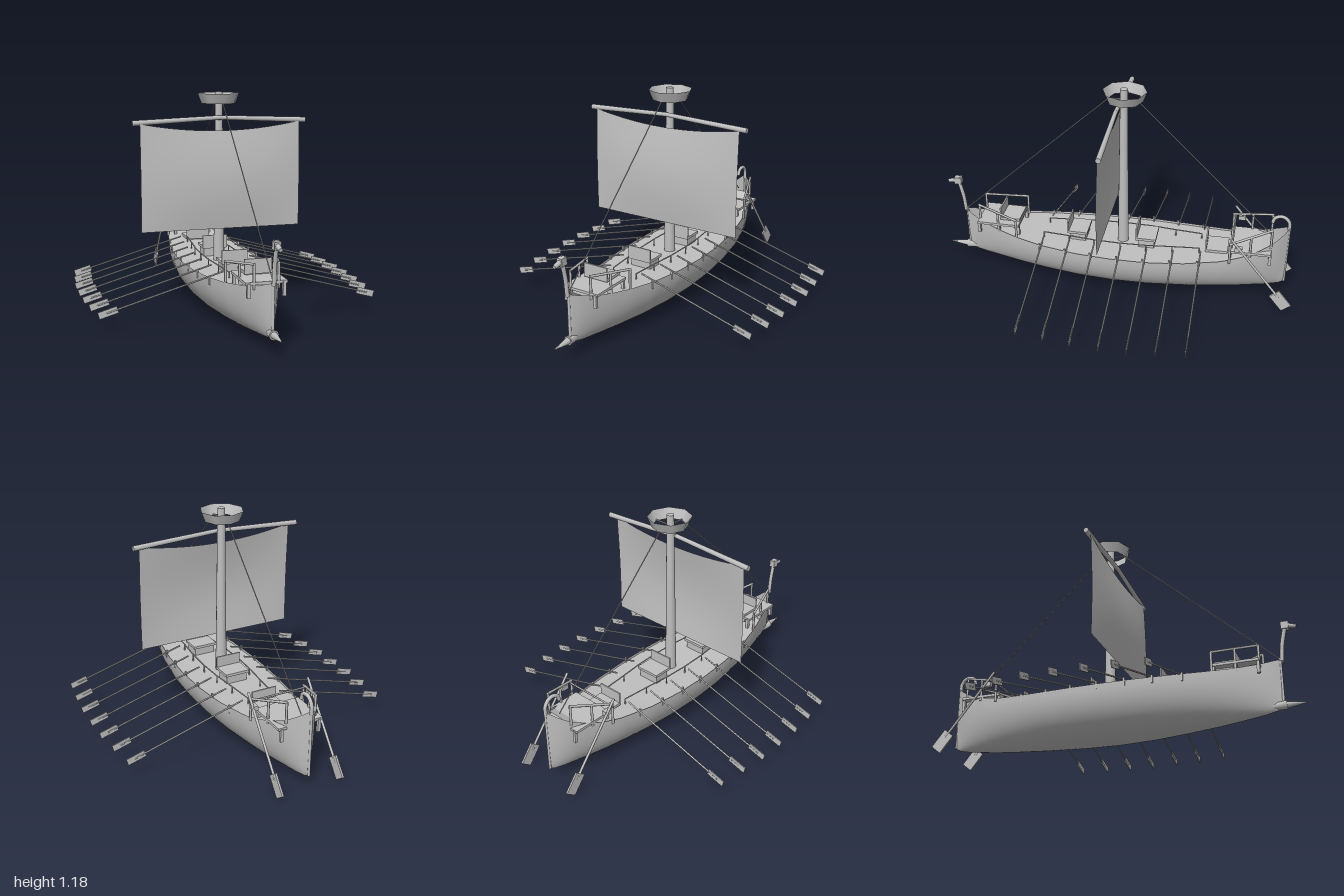
import * as THREE from 'three';

const wood = new THREE.MeshStandardMaterial({ color: 0xc0c0c0, side: THREE.DoubleSide });
wood.name = 'light grey wood';

const V = (x, y, z) => new THREE.Vector3(x, y, z);

// hull stations from stern to bow: z, half width, keel height, sheer height
const stations = [
  [-0.955, 0.004, 0.08, 0.44], [-0.93, 0.035, 0.065, 0.415], [-0.87, 0.078, 0.052, 0.37], [-0.8, 0.105, 0.044, 0.335],
  [-0.7, 0.137, 0.034, 0.3], [-0.6, 0.163, 0.027, 0.28], [-0.4, 0.2, 0.016, 0.265], [-0.2, 0.22, 0.008, 0.26],
  [0, 0.223, 0.005, 0.26], [0.2, 0.211, 0.011, 0.263], [0.4, 0.18, 0.024, 0.27], [0.55, 0.142, 0.036, 0.28],
  [0.68, 0.1, 0.05, 0.295], [0.8, 0.054, 0.066, 0.32], [0.86, 0.024, 0.08, 0.34], [0.885, 0.004, 0.095, 0.35],
];

function hullAt(z) {
  let i = 0;
  while (i < stations.length - 2 && z > stations[i + 1][0]) i++;
  const a = stations[i], b = stations[i + 1];
  const t = THREE.MathUtils.clamp((z - a[0]) / (b[0] - a[0]), 0, 1);
  const [, w, keel, sheer] = a.map((n, k) => n + (b[k] - n) * t);
  return { w, keel, sheer };
}

function add(parent, name, geometry) {
  const mesh = new THREE.Mesh(geometry, wood);
  mesh.name = name;
  parent.add(mesh);
  return mesh;
}

function group(parent, name) {
  const g = new THREE.Group();
  g.name = name;
  parent.add(g);
  return g;
}

function box(parent, name, size, pos) {
  const mesh = add(parent, name, new THREE.BoxGeometry(...size));
  mesh.position.set(...pos);
  return mesh;
}

// tapered round bar between two points
function bar(parent, name, a, b, r0, r1 = r0, sides = 8) {
  const mesh = add(parent, name, new THREE.CylinderGeometry(r1, r0, a.distanceTo(b), sides));
  mesh.position.copy(a).add(b).multiplyScalar(0.5);
  mesh.quaternion.setFromUnitVectors(V(0, 1, 0), b.clone().sub(a).normalize());
  return mesh;
}

// surface whose points follow a rule of u and v, both from 0 to 1
function surface(parent, name, nu, nv, rule) {
  const geo = new THREE.PlaneGeometry(1, 1, nu, nv);
  const p = geo.attributes.position;
  for (let i = 0; i < p.count; i++) p.setXYZ(i, ...rule(p.getX(i) + 0.5, p.getY(i) + 0.5));
  geo.computeVertexNormals();
  return add(parent, name, geo);
}

function seat(parent, z, y, depth = 0.11) {
  const g = group(parent, 'seat');
  box(g, 'seatBoard', [0.14, 0.015, depth], [0, y, z]);
  box(g, 'seatBase', [0.12, 0.05, depth * 0.8], [0, y - 0.03, z]);
  box(g, 'seatBack', [0.14, 0.075, 0.008], [0, y + 0.03, z + depth / 2]);
}

// raised deck on legs with handrails; ends are given as [z, half width, rail x, rail y]
function platform(parent, name, y, ends) {
  const g = group(parent, name);
  const [a, b] = ends;
  box(g, 'platformBoard', [a[1] * 2, 0.014, Math.abs(a[0] - b[0])], [0, y, (a[0] + b[0]) / 2]);
  for (const s of [-1, 1]) {
    const rail = t => V(s * (a[2] + (b[2] - a[2]) * t), a[3] + (b[3] - a[3]) * t, a[0] + (b[0] - a[0]) * t);
    for (const t of [0.02, 0.5, 0.98]) {
      const top = rail(t);
      bar(g, 'railPost', V(top.x, hullAt(top.z).sheer - 0.02, top.z), top, 0.007, 0.007, 6);
      box(g, 'platformLeg', [0.016, 0.07, 0.016], [s * a[1] * 0.85, y - 0.035, top.z]);
    }
    bar(g, 'handrail', rail(0), rail(1), 0.007, 0.007, 6);
  }
  return g;
}

export function createModel() {
  const ship = new THREE.Group();
  ship.name = 'galley';

  // hull and deck
  surface(ship, 'hull', 60, 28, (u, v) => {
    const z = 0.885 - 1.84 * u, h = hullAt(z), a = (v - 0.5) * Math.PI;
    return [h.w * Math.sign(a) * Math.abs(Math.sin(a)) ** 0.95, h.sheer - (h.sheer - h.keel) * Math.max(0, Math.cos(a)) ** 0.97, z];
  });
  surface(ship, 'deck', 2, 40, (u, v) => {
    const z = 0.79 - 1.66 * v, h = hullAt(z);
    return [(u * 2 - 1) * h.w * 0.99, h.sheer - 0.012, z];
  });
  bar(ship, 'sternPost', V(0, 0.08, -0.952), V(0, 0.44, -0.952), 0.007);
  bar(ship, 'stemPost', V(0, 0.1, 0.882), V(0, 0.36, 0.882), 0.008);

  // ram at the waterline
  const ram = group(ship, 'ram');
  bar(ram, 'ramBody', V(0, 0.1, 0.8), V(0, 0.105, 0.9), 0.016, 0.025);
  bar(ram, 'ramPoint', V(0, 0.105, 0.9), V(0, 0.106, 1), 0.018, 0.003);

  // figurehead
  const figure = group(ship, 'figurehead');
  const neck = new THREE.CatmullRomCurve3([V(0, 0.34, 0.89), V(0, 0.43, 0.898), V(0, 0.49, 0.91), V(0, 0.53, 0.92)]);
  add(figure, 'neck', new THREE.TubeGeometry(neck, 12, 0.011, 8));
  box(figure, 'head', [0.032, 0.04, 0.04], [0, 0.535, 0.92]);
  bar(figure, 'snout', V(0, 0.535, 0.93), V(0, 0.525, 0.978), 0.015, 0.01);
  for (const s of [-1, 1]) bar(figure, 'ear', V(s * 0.01, 0.55, 0.91), V(s * 0.012, 0.562, 0.905), 0.006, 0.001, 5);

  // curled stern ornament
  const curl = new THREE.CatmullRomCurve3([
    V(0, 0.42, -0.95), V(0, 0.465, -0.948), V(0, 0.495, -0.925), V(0, 0.502, -0.895), V(0, 0.488, -0.868), V(0, 0.46, -0.858)]);
  add(ship, 'sternCurl', new THREE.TubeGeometry(curl, 20, 0.01, 8));

  // platforms and seats
  platform(ship, 'foreDeck', 0.327, [[0.79, 0.105, 0.06, 0.42], [0.55, 0.105, 0.135, 0.385]]);
  const aft = platform(ship, 'aftDeck', 0.322, [[-0.64, 0.125, 0.155, 0.39], [-0.865, 0.125, 0.08, 0.46]]);
  bar(aft, 'crossRail', V(-0.17, 0.385, -0.655), V(0.17, 0.385, -0.655), 0.005, 0.005, 6);
  seat(ship, 0.605, 0.348);
  seat(ship, 0.215, 0.303);
  seat(ship, -0.175, 0.303);
  seat(ship, -0.57, 0.276, 0.12);

  // rowing oars with pins and inner rail
  const oarZ = [0.4, 0.25, 0.105, -0.045, -0.19, -0.335, -0.485];
  const oarEnd = [0.742, 0.765, 0.78, 0.785, 0.785, 0.772, 0.755];
  const railX = [0.072, 0.085, 0.1, 0.105, 0.1, 0.085, 0.072];
  const slope = -0.285;
  for (const s of [-1, 1]) {
    oarZ.forEach((z, i) => {
      const oar = group(ship, 'oar');
      const point = d => V(s * (oarEnd[i] - d), 0.11 - d * slope, z);
      bar(oar, 'oarShaft', point(0.645), point(0.04), 0.0045, 0.0045, 6);
      const blade = box(oar, 'oarBlade', [0.1, 0.036, 0.005], point(0.05).toArray());
      blade.rotation.z = s * Math.atan(slope);
      const w = hullAt(z).w;
      box(oar, 'oarPin', [0.01, 0.045, 0.01], [s * (w - 0.004), 0.255, z + 0.012]);
      bar(oar, 'railSupport', V(s * railX[i], 0.245, z + 0.01), V(s * railX[i], 0.29, z + 0.01), 0.0035, 0.0035, 6);
      if (i < 6) bar(oar, 'innerRail', V(s * railX[i], 0.29, z + 0.01), V(s * railX[i + 1], 0.29, oarZ[i + 1] + 0.01), 0.0035, 0.0035, 6);
    });

    // steering oar
    const steer = group(ship, 'steeringOar');
    bar(steer, 'steeringShaft', V(s * 0.172, 0.435, -0.65), V(s * 0.172, 0.09, -0.925), 0.007);
    const blade = box(steer, 'steeringBlade', [0.01, 0.115, 0.065], [s * 0.172, 0.068, -0.938]);
    blade.rotation.x = Math.atan2(0.275, 0.345);
    box(steer, 'steeringBracket', [0.025, 0.025, 0.04], [s * 0.16, 0.37, -0.69]);
  }

  // mast and lookout ring
  bar(ship, 'mast', V(0, 0.24, -0.035), V(0, 1.183, -0.035), 0.031, 0.02, 12);
  const ring = add(ship, 'lookoutRing', new THREE.CylinderGeometry(0.118, 0.096, 0.055, 8, 1, true));
  ring.position.set(0, 1.147, -0.04);
  for (const a of [0, Math.PI / 2]) {
    const x = Math.cos(a) * 0.095, z = Math.sin(a) * 0.095;
    bar(ship, 'ringSpoke', V(-x, 1.125, -0.04 - z), V(x, 1.125, -0.04 + z), 0.004, 0.004, 6);
  }

  // yard and sail
  for (const s of [-1, 1]) bar(ship, 'yard', V(0, 1.045, 0.01), V(s * 0.485, 1.023, 0.004), 0.012, 0.015);
  surface(ship, 'sail', 24, 16, (u, v) => {
    const x = u * 2 - 1;
    const top = 0.975 + 0.045 * x * x;
    return [x * 0.447, 0.437 + (top - 0.437) * v, 0.026 - 0.01 * v + Math.sin(Math.PI * v) * (0.006 + 0.02 * (1 - x * x))];
  });

  // stays
  bar(ship, 'foreStay', V(0, 1.13, 0.04), V(0, 0.355, 0.88), 0.003, 0.003, 5);
  bar(ship, 'backStay', V(0, 1.13, -0.1), V(0, 0.375, -0.865), 0.003, 0.003, 5);

  return ship;
}
